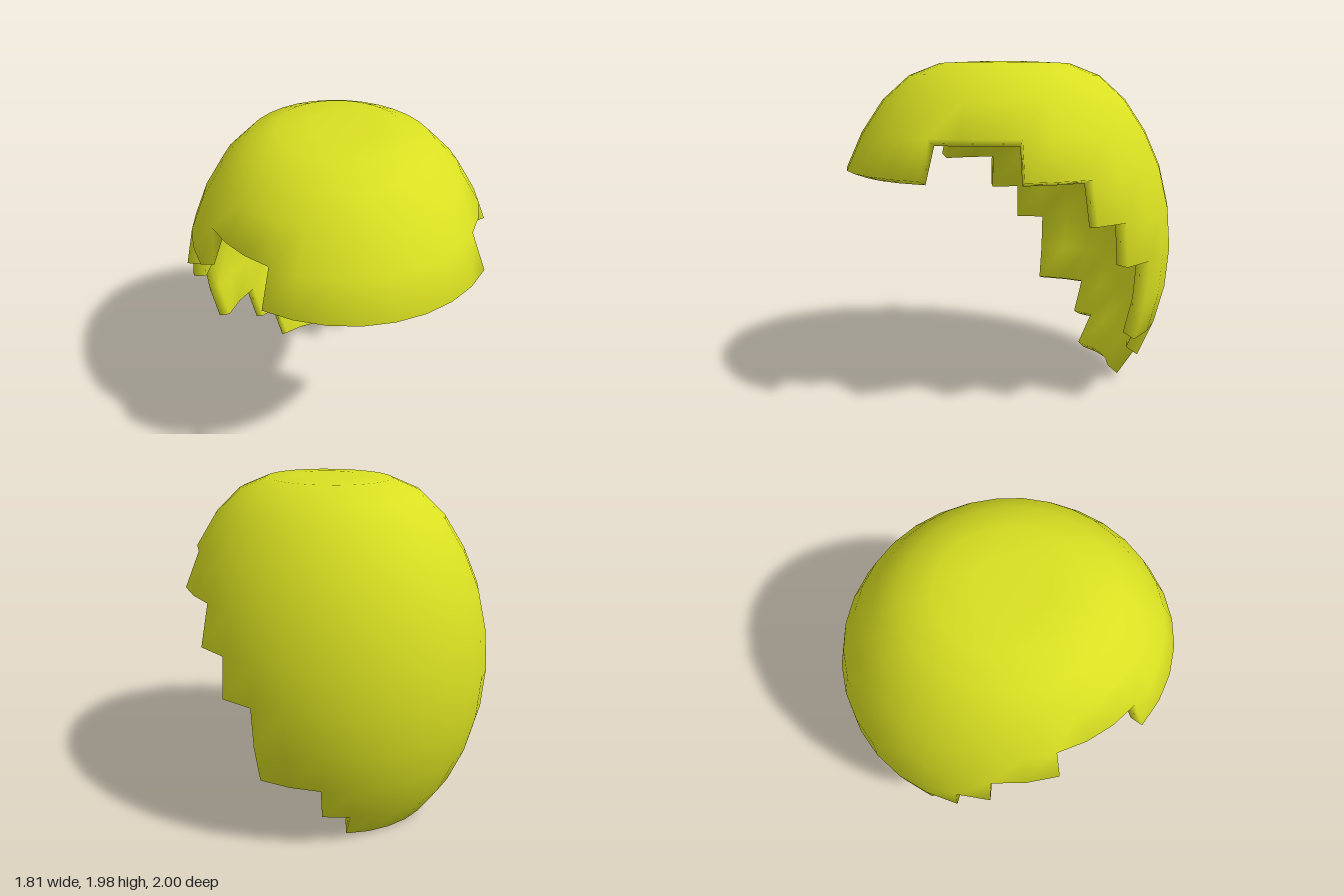
import * as THREE from 'three';

const COLS = 32;          // columns around, starting at the back and going to +x
const STEP = Math.PI / 16;
const A = 0.94, B = 1.2, C = 1.04; // half-sizes of the egg-shaped head
const MID_Y = 0.88, MID_Z = 0.04, THICK = 0.08;

// Heights of the rings, crown to nape; the crown is flattened
const HEIGHTS = [1.98, 1.98, 1.97, 1.9, 1.76, 1.57, 1.36, 1.12, 0.88, 0.64, 0.41, 0.19, 0];

// Ring each column reaches down to, from the back centre to the front centre
const HALF_CUT = [12, 12, 11, 10, 10, 8, 7, 6, 6, 5, 5, 5, 6, 6, 6, 6];
const cut = (j) => {
  const k = (j + COLS) % COLS;
  return HALF_CUT[Math.min(k, COLS - 1 - k)];
};

// Point on the outer (layer 0) or inner (layer 1) surface
function shellPoint(i, j, layer) {
  const r = Math.sin(i * STEP), phi = j * STEP;
  const p = new THREE.Vector3(A * r * Math.sin(phi), HEIGHTS[i] - MID_Y, -C * r * Math.cos(phi));
  const n = new THREE.Vector3(p.x / (A * A), p.y / (B * B), p.z / (C * C)).normalize();
  p.addScaledVector(n, -THICK * layer);
  return p.add(new THREE.Vector3(0, MID_Y, MID_Z));
}

function hairGeometry() {
  const positions = [], index = [], ids = new Map();

  // Shared vertices, made only when a cell needs them
  const vertex = ([i, j], layer) => {
    const col = i === 0 ? 0 : j % COLS;
    const key = `${i},${col},${layer}`;
    if (!ids.has(key)) {
      ids.set(key, positions.length / 3);
      positions.push(...shellPoint(i, col, layer).toArray());
    }
    return ids.get(key);
  };
  const triangle = (a, b, c) => {
    if (a !== b && b !== c && c !== a) index.push(a, b, c);
  };
  const quad = (a, b, c, d) => {
    triangle(a, b, c);
    triangle(a, c, d);
  };
  // Rim joining the outer edge p-q to the inner one
  const rim = (p, q) => quad(vertex(q, 0), vertex(p, 0), vertex(p, 1), vertex(q, 1));

  for (let j = 0; j < COLS; j++) {
    for (let i = 0; i < cut(j); i++) {
      const corners = [[i, j], [i, j + 1], [i + 1, j + 1], [i + 1, j]];
      quad(...corners.map((c) => vertex(c, 0)));
      quad(...corners.map((c) => vertex(c, 1)).reverse());
      if (i + 1 === cut(j)) rim(corners[2], corners[3]);
      if (i >= cut(j + 1)) rim(corners[1], corners[2]);
      if (i >= cut(j - 1)) rim(corners[3], corners[0]);
    }
  }

  const geometry = new THREE.BufferGeometry();
  geometry.setAttribute('position', new THREE.Float32BufferAttribute(positions, 3));
  geometry.setIndex(index);
  geometry.computeVertexNormals();
  return geometry;
}

export function createModel() {
  const group = new THREE.Group();
  group.name = 'hairpiece';
  // Thick shell of hair with a stepped lower edge
  const hair = new THREE.Mesh(hairGeometry(), new THREE.MeshStandardMaterial({ color: 0xd9e021 }));
  hair.name = 'hairShell';
  group.add(hair);
  return group;
}
